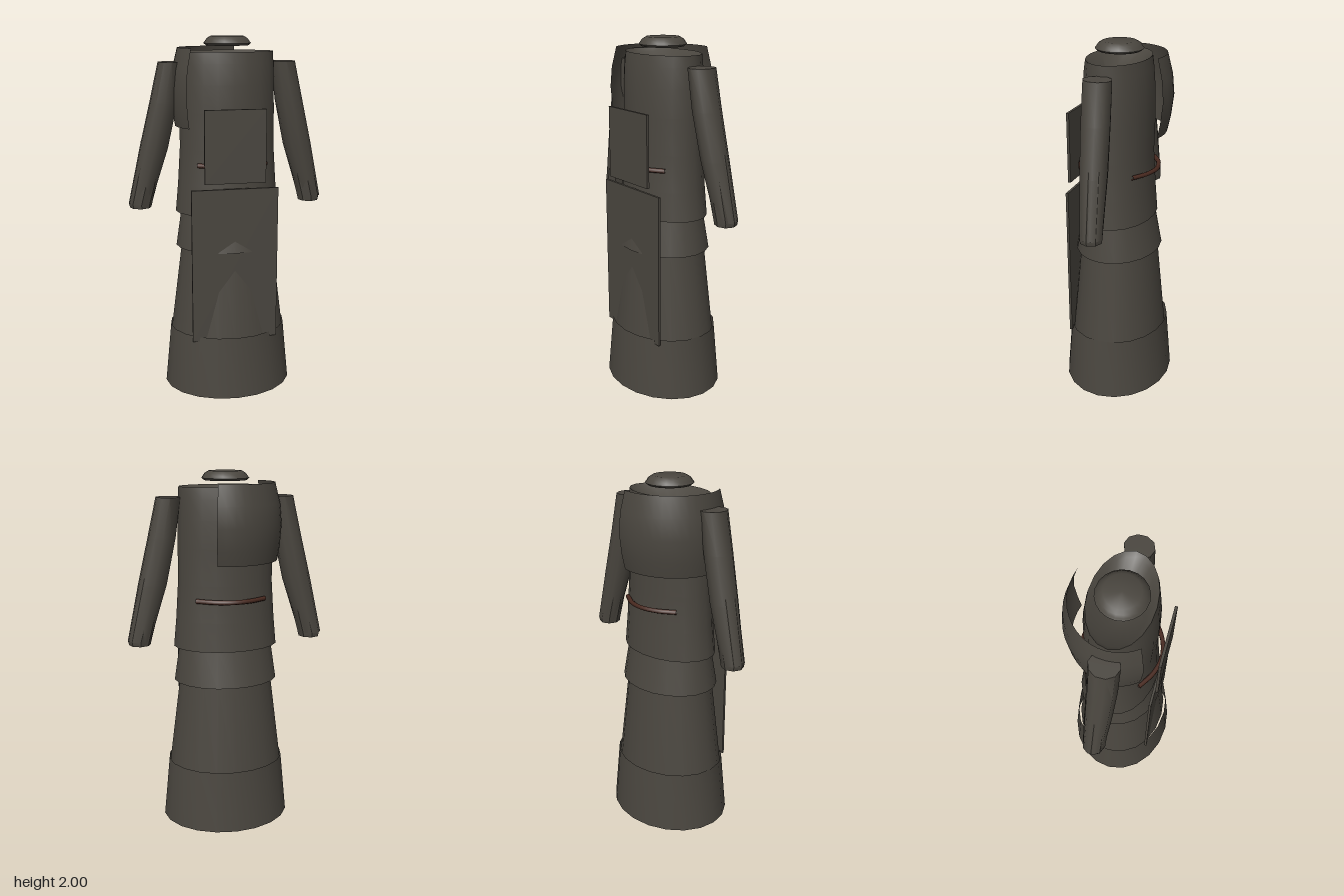
import * as THREE from 'three';
import { toCreasedNormals } from 'three/addons/utils/BufferGeometryUtils.js';

// Skin over elliptical rings [y, halfX, halfZ, centreX, centreZ], listed from bottom to top
function loft(rings, segs = 20, start = 0, end = Math.PI * 2) {
  const pos = [], idx = [];
  rings.forEach(([y, a, b, cx = 0, cz = 0], i) => {
    for (let j = 0; j <= segs; j++) {
      const t = start + (end - start) * j / segs;
      pos.push(cx + a * Math.sin(t), y, cz + b * Math.cos(t));
      if (i && j < segs) {
        const p = (i - 1) * (segs + 1) + j, q = p + segs + 1;
        idx.push(p, p + 1, q, p + 1, q + 1, q);
      }
    }
  });
  const g = new THREE.BufferGeometry();
  g.setAttribute('position', new THREE.Float32BufferAttribute(pos, 3));
  g.setIndex(idx);
  return toCreasedNormals(g, 0.7);
}

export function createModel() {
  const group = new THREE.Group();
  const cloth = new THREE.MeshStandardMaterial({ name: 'dark cloth', color: 0x4a463f, side: THREE.DoubleSide });
  const rust = new THREE.MeshStandardMaterial({ name: 'rust cord', color: 0x4a2a20, side: THREE.DoubleSide });
  const add = (name, geometry, material = cloth) => {
    const mesh = new THREE.Mesh(geometry, material);
    mesh.name = name;
    group.add(mesh);
    return mesh;
  };

  // Robe tiers, each overhanging the next
  add('hem', loft([[0, 0.37, 0.31], [0.355, 0.335, 0.28]]));
  add('skirt', loft([[0.3, 0.335, 0.267], [0.84, 0.265, 0.215], [1.1, 0.235, 0.185]]));
  add('lowerTier', loft([[0.84, 0.295, 0.238], [1.04, 0.265, 0.198], [1.1, 0.255, 0.187]]));
  add('tunic', loft([
    [1.04, 0.295, 0.207], [1.2, 0.28, 0.194], [1.4, 0.267, 0.182], [1.6, 0.265, 0.187],
    [1.75, 0.262, 0.184], [1.86, 0.259, 0.175], [1.92, 0.256, 0.165],
  ]));

  // Sunken neckline inside the tunic
  add('neckline', loft([[1.83, 0, 0], [1.84, 0.1, 0.08], [1.9, 0.235, 0.135], [1.92, 0.256, 0.165]]));

  // Cape wrapped over the back and right shoulder
  add('cape', loft([
    [1.52, 0.29, 0.257], [1.6, 0.303, 0.275], [1.72, 0.31, 0.29],
    [1.83, 0.3, 0.28], [1.94, 0.272, 0.252],
  ], 16, 2.81, 5.34));

  // Collar cap above the neckline
  add('collarCap', loft([
    [1.95, 0, 0], [1.95, 0.115, 0.115], [1.962, 0.13, 0.13], [1.972, 0.122, 0.122],
    [1.987, 0.112, 0.112], [2, 0.09, 0.09], [2, 0, 0],
  ], 20));

  for (const s of [-1, 1]) {
    // Sleeve and the forearm inside it
    add(s > 0 ? 'leftSleeve' : 'rightSleeve', loft([
      [1.09, 0, 0, s * 0.493, -0.028], [1.09, 0.064, 0.06, s * 0.493, -0.028],
      [1.4, 0.08, 0.073, s * 0.41, -0.014], [1.65, 0.077, 0.078, s * 0.353, -0.004],
      [1.865, 0.067, 0.078, s * 0.313, 0], [1.865, 0, 0, s * 0.313, 0],
    ], 10));
    add(s > 0 ? 'leftForearm' : 'rightForearm', loft([
      [1.065, 0, 0, s * 0.49, -0.026], [1.065, 0.06, 0.06, s * 0.49, -0.026],
      [1.09, 0.066, 0.063, s * 0.49, -0.026], [1.44, 0.075, 0.066, s * 0.405, -0.015],
    ], 8));
    // Leg under the robe
    add(s > 0 ? 'leftLeg' : 'rightLeg', loft([
      [0.03, 0, 0, s * 0.12], [0.03, 0.065, 0.065, s * 0.12], [1, 0.08, 0.08, s * 0.1],
    ], 8));
    // Waist cord, front and back
    const path = new THREE.CatmullRomCurve3([
      [-0.19, 0.14], [-0.1, 0.195], [0, 0.217], [0.1, 0.195], [0.19, 0.14],
    ].map(([x, z]) => new THREE.Vector3(x, 1.32, s * z)));
    add(s > 0 ? 'frontCord' : 'backCord', new THREE.TubeGeometry(path, 16, 0.013, 6), rust);
  }

  // Hanging front panels
  add('chestPanel', new THREE.BoxGeometry(0.335, 0.395, 0.015)).position.set(-0.002, 1.432, 0.235);
  add('apronPanel', new THREE.BoxGeometry(0.48, 0.87, 0.014)).position.set(0, 0.765, 0.218);

  return group;
}
